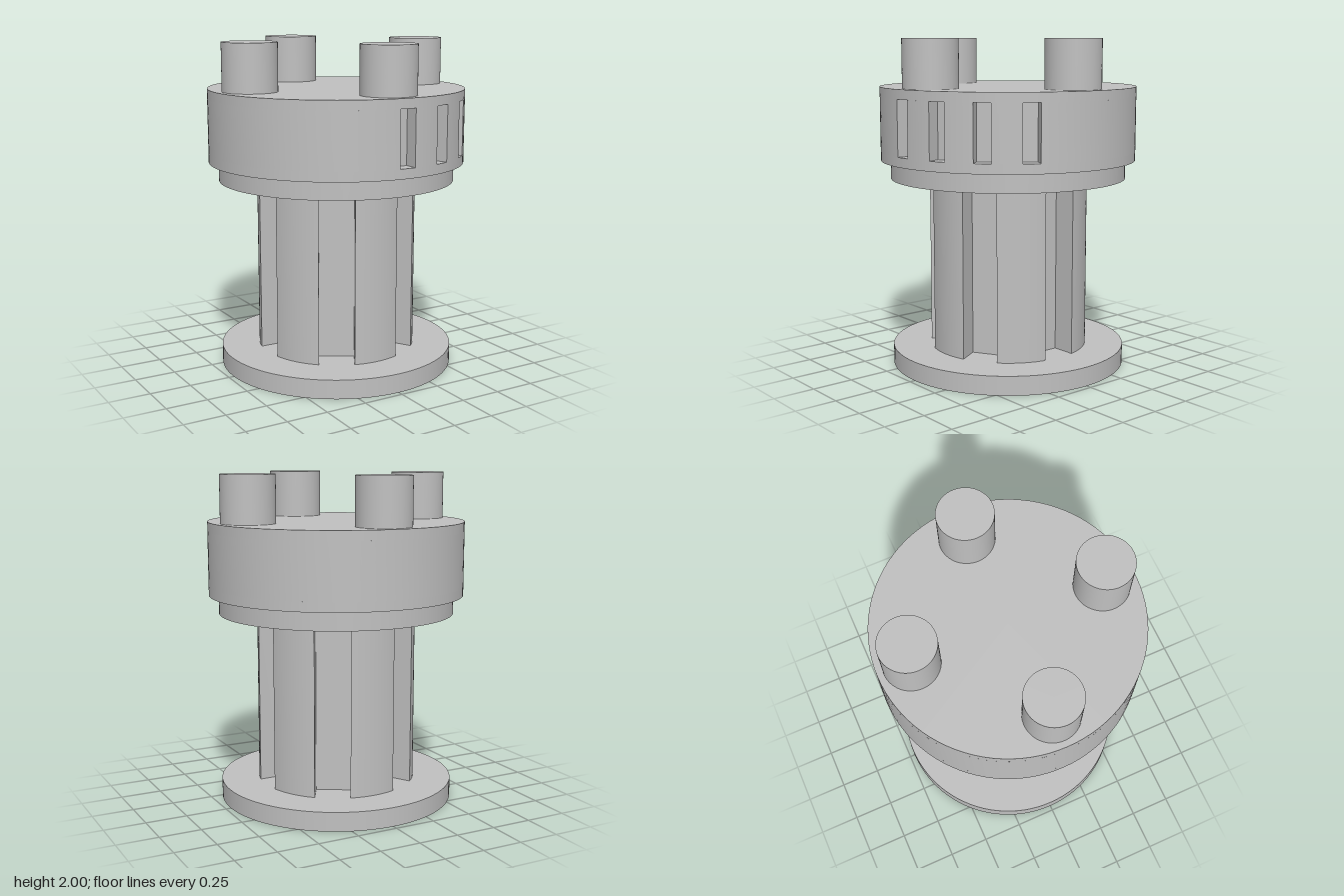
import * as THREE from 'three';
import { toCreasedNormals } from 'three/addons/utils/BufferGeometryUtils.js';

const grey = new THREE.MeshStandardMaterial({ color: 0xc0c0c0 });
grey.name = 'grey';

const rad = THREE.MathUtils.degToRad;

export function createModel() {
  const model = new THREE.Group();
  model.name = 'column';

  function add(name, geometry, x, y, z) {
    const mesh = new THREE.Mesh(geometry, grey);
    mesh.name = name;
    mesh.position.set(x, y, z);
    model.add(mesh);
  }

  // Upright cylinder between two heights
  function disc(name, radius, y0, y1, x = 0, z = 0) {
    const geometry = new THREE.CylinderGeometry(radius, radius, y1 - y0, 96);
    add(name, geometry, x, (y0 + y1) / 2, z);
  }

  // Upright round prism with straight-sided, flat-bottomed slots cut inward
  // at the given angles (0 = +x, -90 = front)
  function slotted(name, radius, halfWidth, floor, degrees, y0, y1, segments) {
    const shape = new THREE.Shape();
    const spread = Math.asin(halfWidth / radius);
    const angles = degrees.map(rad);
    const corner = (a, w) => [
      floor * Math.cos(a) - w * Math.sin(a),
      floor * Math.sin(a) + w * Math.cos(a),
    ];
    angles.forEach((a, i) => {
      const next = i + 1 < angles.length ? angles[i + 1] : angles[0] + Math.PI * 2;
      if (i === 0) shape.moveTo(...corner(a, -halfWidth));
      else shape.lineTo(...corner(a, -halfWidth));
      shape.lineTo(...corner(a, halfWidth));
      shape.absarc(0, 0, radius, a + spread, next - spread, false);
    });
    const geometry = new THREE.ExtrudeGeometry(shape, {
      depth: y1 - y0, bevelEnabled: false, curveSegments: segments,
    });
    geometry.rotateX(-Math.PI / 2);
    add(name, toCreasedNormals(geometry, rad(25)), 0, y0, 0);
  }

  // Foot and ribbed shaft
  disc('base', 0.718, 0, 0.115);
  slotted('ribbedShaft', 0.485, 0.106, 0.327, [0, 60, 120, 180, 240, 300], 0.115, 1.157, 10);

  // Head: collar, then a drum with four window recesses
  disc('collar', 0.718, 1.157, 1.27);
  disc('drumBottom', 0.777, 1.27, 1.328);
  slotted('drumWindowBand', 0.777, 0.05, 0.69, [-90, -70, -50, -30], 1.328, 1.658, 48);
  disc('drumTop', 0.777, 1.658, 1.715);

  // Four pegs on top
  for (let i = 0; i < 4; i++) {
    const a = (i * Math.PI) / 2;
    disc('peg', 0.163, 1.715, 2, 0.577 * Math.cos(a), 0.577 * Math.sin(a));
  }

  return model;
}
